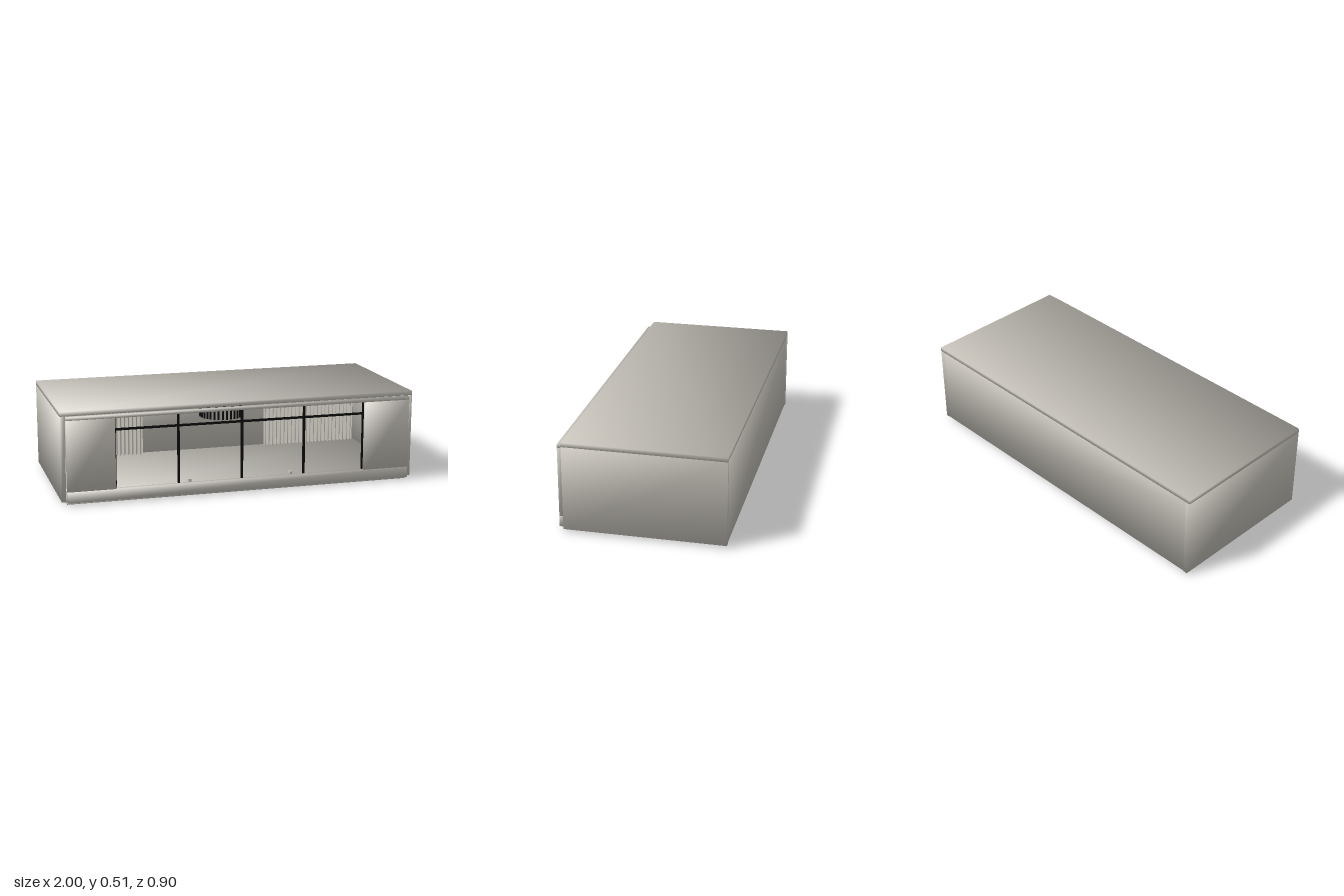
import * as THREE from 'three';
import { mergeVertices } from 'three/addons/utils/BufferGeometryUtils.js';

export function createModel() {
  const model = new THREE.Group();
  model.name = 'pavilion';

  const stone = new THREE.MeshStandardMaterial({ color: 0xc8c4bc });
  stone.name = 'warm grey shell';
  const black = new THREE.MeshStandardMaterial({ color: 0x0c0c0c });
  black.name = 'black metal';
  const fabric = new THREE.MeshStandardMaterial({ color: 0xc4c0b8, side: THREE.DoubleSide });
  fabric.name = 'curtain fabric';

  const add = (name, geometry, material, parent = model) => {
    const mesh = new THREE.Mesh(geometry, material);
    mesh.name = name;
    parent.add(mesh);
    return mesh;
  };

  // Box from its limits; soft boxes share one averaged normal per corner
  const box = (name, [x0, x1], [y0, y1], [z0, z1], material = stone, soft = true) => {
    let g = new THREE.BoxGeometry(x1 - x0, y1 - y0, z1 - z0);
    if (soft) {
      g.deleteAttribute('uv');
      g.deleteAttribute('normal');
      g = mergeVertices(g);
      const p = g.attributes.position;
      const n = [];
      for (let i = 0; i < p.count; i++) {
        n.push(...[p.getX(i), p.getY(i), p.getZ(i)].map((v) => Math.sign(v) / Math.sqrt(3)));
      }
      g.setAttribute('normal', new THREE.Float32BufferAttribute(n, 3));
    }
    g.translate((x0 + x1) / 2, (y0 + y1) / 2, (z0 + z1) / 2);
    return add(name, g, material);
  };
  // Mirrored x range for left (+1) and right (-1)
  const span = (s, a, b) => (s > 0 ? [a, b] : [-b, -a]);

  // Shell
  box('base', [-0.972, 0.972], [0, 0.015], [-0.42, 0.42]);
  box('floor', [-0.975, 0.975], [0.015, 0.035], [-0.445, 0.42]);
  box('roof', [-1, 1], [0.483, 0.507], [-0.45, 0.42]);
  box('backWall', [-0.975, 0.975], [0.015, 0.483], [-0.447, -0.42]);

  // Front surround
  box('sill', [-0.972, 0.972], [0.015, 0.075], [0.42, 0.45]);
  box('header', [-0.972, 0.972], [0.465, 0.482], [0.42, 0.45]);

  for (const s of [1, -1]) {
    const side = s > 0 ? 'left' : 'right';
    box(side + 'SideWall', span(s, 0.975, 1), [0.015, 0.483], [-0.45, 0.42]);
    box(side + 'FrontPanel', span(s, 0.71, 0.972), [0.075, 0.465], [0.42, 0.449]);
  }

  // Window frame
  for (const x of [-0.708, -0.358, 0, 0.358, 0.708]) {
    box('mullion', [x - 0.006, x + 0.006], [0.07, 0.468], [0.412, 0.424], black, false);
  }
  box('transom', [-0.71, 0.71], [0.39, 0.401], [0.412, 0.424], black, false);

  // Pleated curtains along the back wall
  for (const s of [1, -1]) {
    const pleats = 24;
    const g = new THREE.PlaneGeometry(0.58, 0.44, pleats * 8, 1);
    const p = g.attributes.position;
    for (let i = 0; i < p.count; i++) {
      const t = p.getX(i) / 0.58 + 0.5;
      p.setZ(i, 0.018 * Math.sin(t * pleats * Math.PI * 2));
    }
    g.computeVertexNormals();
    add(s > 0 ? 'leftCurtain' : 'rightCurtain', g, fabric).position.set(s * 0.67, 0.258, -0.385);
  }

  // Hanging lamp: a disc fringed with rods
  const lamp = new THREE.Group();
  lamp.name = 'hangingLamp';
  model.add(lamp);
  add('lampPlate', new THREE.CylinderGeometry(0.135, 0.135, 0.01, 32), black, lamp).position.y = 0.402;
  add('lampStem', new THREE.CylinderGeometry(0.005, 0.005, 0.08, 8), black, lamp).position.y = 0.444;
  const rod = new THREE.CylinderGeometry(0.006, 0.006, 0.064, 6);
  for (let i = 0; i < 32; i++) {
    const a = (i / 32) * Math.PI * 2;
    add('lampRod', rod, black, lamp).position.set(0.122 * Math.cos(a), 0.368, 0.122 * Math.sin(a));
  }

  // Small floor spots behind the sill
  for (const x of [-0.29, 0.29]) {
    add('floorSpot', new THREE.CylinderGeometry(0.011, 0.011, 0.05, 12), stone).position.set(x, 0.06, 0.39);
  }

  return model;
}
